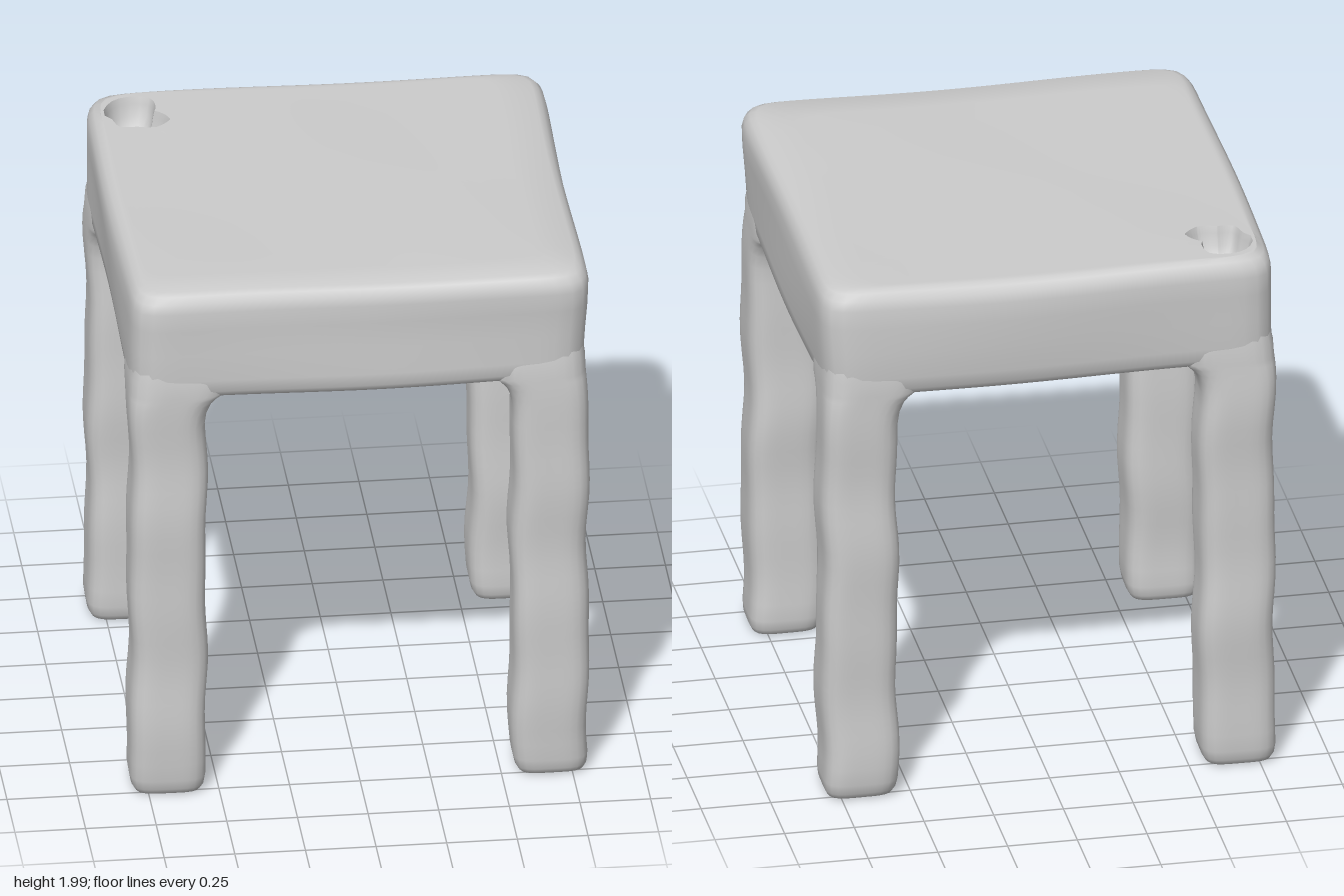
import * as THREE from 'three';
import { toCreasedNormals } from 'three/addons/utils/BufferGeometryUtils.js';

const material = new THREE.MeshStandardMaterial({ color: 0xcccccc });
const { sin, cos, abs, min, pow, PI } = Math;
const lerp = THREE.MathUtils.lerp;

// Radius of a rounded square, and of a square with cut corners, along angle t
const rounded = (half, n, t) => half * pow(pow(abs(cos(t)), n) + pow(abs(sin(t)), n), -1 / n);
const cut = (half, chamfer, t) => min(
  half / Math.max(abs(cos(t)), abs(sin(t))),
  (2 * half - chamfer) / (abs(cos(t)) + abs(sin(t))));

// Gentle hand-worked unevenness shared by all parts
function wobble([x, y, z]) {
  return [
    x + 0.005 * sin(9 * y + 4 * z) + 0.003 * sin(17 * y + 2 * x),
    y + 0.004 * sin(5 * x + 1) * cos(4 * z) * min(1, y),
    (z + 0.005 * sin(8 * y + 3 * x + 2) + 0.003 * sin(15 * y - 3 * z)) * 0.985,
  ];
}

// Skin a list of rings; each ring maps an angle to a point
function loft(rings, segments, crease) {
  const positions = [], index = [];
  rings.forEach((ring) => {
    for (let j = 0; j < segments; j++) positions.push(...wobble(ring((j / segments) * 2 * PI)));
  });
  for (let i = 0; i < rings.length - 1; i++) {
    for (let j = 0; j < segments; j++) {
      const k = (j + 1) % segments;
      const a = i * segments + j, b = i * segments + k;
      const c = a + segments, d = b + segments;
      index.push(a, c, b, b, c, d);
    }
  }
  const geometry = new THREE.BufferGeometry();
  geometry.setAttribute('position', new THREE.Float32BufferAttribute(positions, 3));
  geometry.setIndex(index);
  return toCreasedNormals(geometry, crease);
}

// Hollow seat: underside recess, apron, top and the chipped corner in one skin
function createSeat() {
  const rings = [];
  const add = (radius, y) => rings.push((t) => [radius(t) * cos(t), y, radius(t) * sin(t)]);

  // Recess ceiling and walls
  for (const s of [0, 0.5, 0.97, 1]) add((t) => s * cut(0.57, 0.22, t), 1.85);
  for (const [half, y] of [[0.57, 1.83], [0.575, 1.72], [0.58, 1.62], [0.6, 1.585]]) {
    add((t) => cut(half, 0.22, t), y);
  }
  // Apron outside, rounded along its lower and upper edges
  const profile = [[0.64, 1.572], [0.76, 1.572], [0.79, 1.582], [0.805, 1.605], [0.81, 1.65],
    [0.81, 1.75], [0.81, 1.85], [0.812, 1.92], [0.806, 1.955], [0.79, 1.978], [0.77, 1.988]];
  for (const [half, y] of profile) add((t) => rounded(half, 18, t), y);

  // Top surface running in to the rim of the chip
  const chip = [-0.65, -0.62];
  const chipRadii = [0.07, 0.14, 0.14, 0.11, 0.12, 0.09, 0.11, 0.11, 0.12, 0.12, 0.12, 0.09];
  const rimPoint = (t, scale) => {
    const r = rounded(0.77, 18, t);
    const edge = [r * cos(t), r * sin(t)];
    const angle = Math.atan2(edge[1] - chip[1], edge[0] - chip[0]);
    const u = ((angle / (2 * PI) + 1) % 1) * 12, i = Math.floor(u) % 12;
    const radius = scale * lerp(chipRadii[i], chipRadii[(i + 1) % 12], u - Math.floor(u));
    return { edge, rim: [chip[0] + radius * cos(angle), chip[1] + radius * sin(angle)] };
  };
  for (const s of [0.1, 0.2, 0.3, 0.4, 0.5, 0.6, 0.7, 0.8, 0.9, 0.97, 1]) {
    rings.push((t) => {
      const { edge, rim } = rimPoint(t, 1);
      return [lerp(edge[0], rim[0], s), 1.99, lerp(edge[1], rim[1], s)];
    });
  }
  // Bowl of the chip
  for (const [scale, y] of [[0.93, 1.965], [0.85, 1.92], [0.65, 1.885], [0.35, 1.875], [0, 1.87]]) {
    rings.push((t) => {
      const { rim } = rimPoint(t, scale);
      return [rim[0], y, rim[1]];
    });
  }
  return new THREE.Mesh(loft(rings, 160, 0.8), material);
}

// Leg whose inner sides flare into the apron
function createLeg(sx, sz) {
  const rings = [];
  const outer = 0.81;
  const add = (half, y, inset = 0, scale = 1) => rings.push((t) => {
    const r = scale * rounded(half, 4.5, t), c = outer - half - inset;
    return [sx * c + r * cos(t), y, sz * c + r * sin(t)];
  });
  add(0.134, 0.008, 0, 0);
  add(0.134, 0.008, 0, 0.72);
  add(0.134, 0.015, 0, 0.88);
  add(0.134, 0.035, 0, 0.96);
  add(0.134, 0.07);
  for (let i = 1; i <= 23; i++) add(0.134, 0.07 + i * 0.06);
  add(0.138, 1.5);
  add(0.147, 1.54);
  add(0.16, 1.565);
  add(0.175, 1.585);
  add(0.175, 1.64);
  add(0.165, 1.72, 0.015);
  add(0.165, 1.72, 0.015, 0);
  return new THREE.Mesh(loft(rings, 40, 0.9), material);
}

export function createModel() {
  const stool = new THREE.Group();
  stool.name = 'stool';
  const seat = createSeat();
  seat.name = 'seat';
  stool.add(seat);
  for (const [sx, side] of [[1, 'Left'], [-1, 'Right']]) {
    for (const [sz, end] of [[1, 'front'], [-1, 'back']]) {
      const leg = createLeg(sx, sz);
      leg.name = `${end}${side}Leg`;
      stool.add(leg);
    }
  }
  return stool;
}
